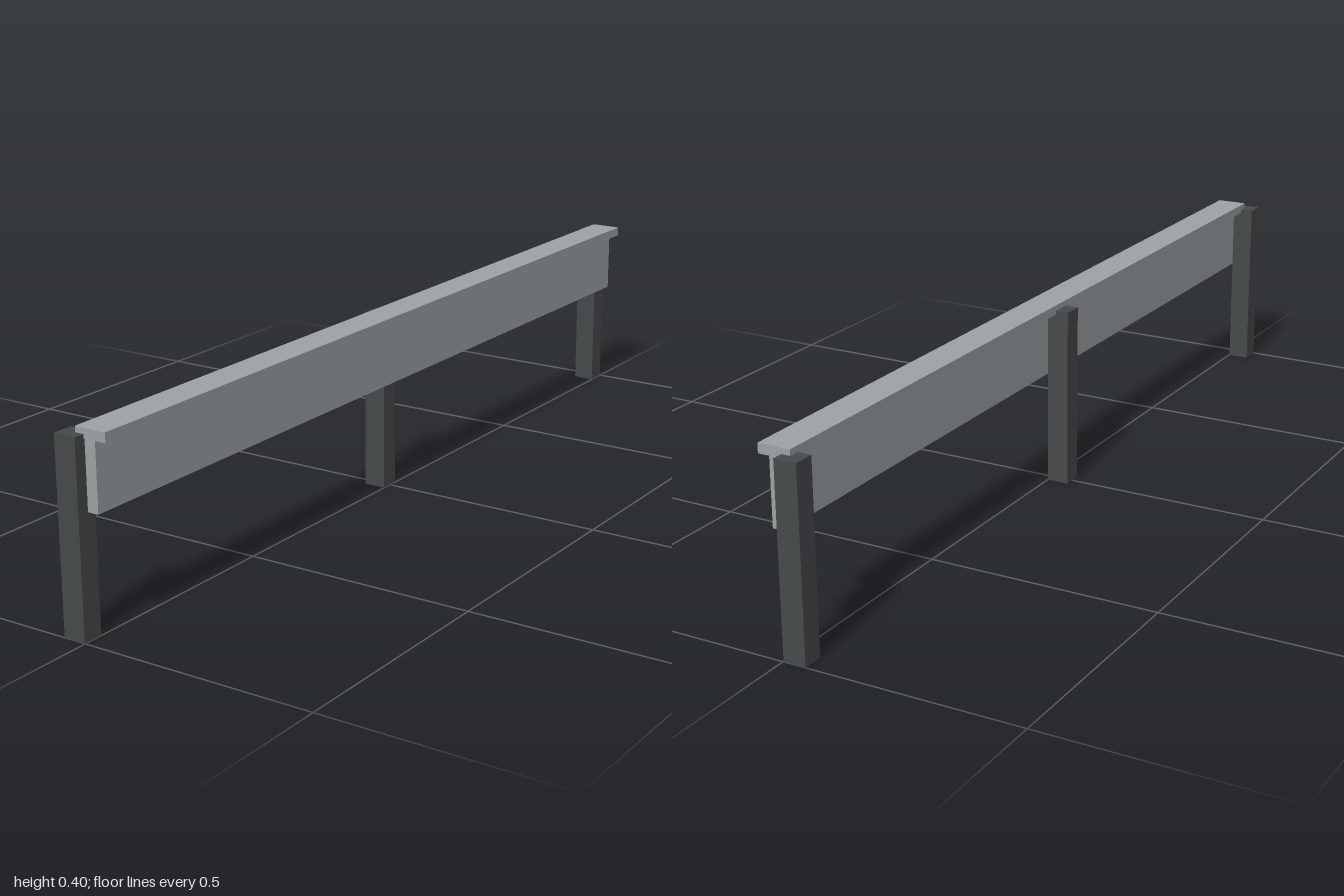
import * as THREE from 'three';

export function createModel() {
  const group = new THREE.Group();
  const steel = new THREE.MeshStandardMaterial({ color: 0x9da3a6 });
  steel.name = 'light grey beam';
  const dark = new THREE.MeshStandardMaterial({ color: 0x464a4b });
  dark.name = 'dark grey post';

  // Box given by its minimum and maximum on each axis
  function box(name, material, [x0, x1], [y0, y1], [z0, z1]) {
    const mesh = new THREE.Mesh(new THREE.BoxGeometry(x1 - x0, y1 - y0, z1 - z0), material);
    mesh.position.set((x0 + x1) / 2, (y0 + y1) / 2, (z0 + z1) / 2);
    mesh.name = name;
    group.add(mesh);
  }

  // Three square posts behind the rail
  const half = 0.0225;
  for (const [name, z] of [['backPost', -1 + half], ['middlePost', 0], ['frontPost', 1 - half]]) {
    box(name, dark, [-0.049, -0.001], [0, 0.39], [z - half, z + half]);
  }

  // T-shaped rail: upright board and flat cap
  box('railBoard', steel, [0.001, 0.025], [0.245, 0.382], [-0.977, 0.977]);
  box('railCap', steel, [-0.02, 0.049], [0.382, 0.402], [-0.977, 0.977]);

  return group;
}
